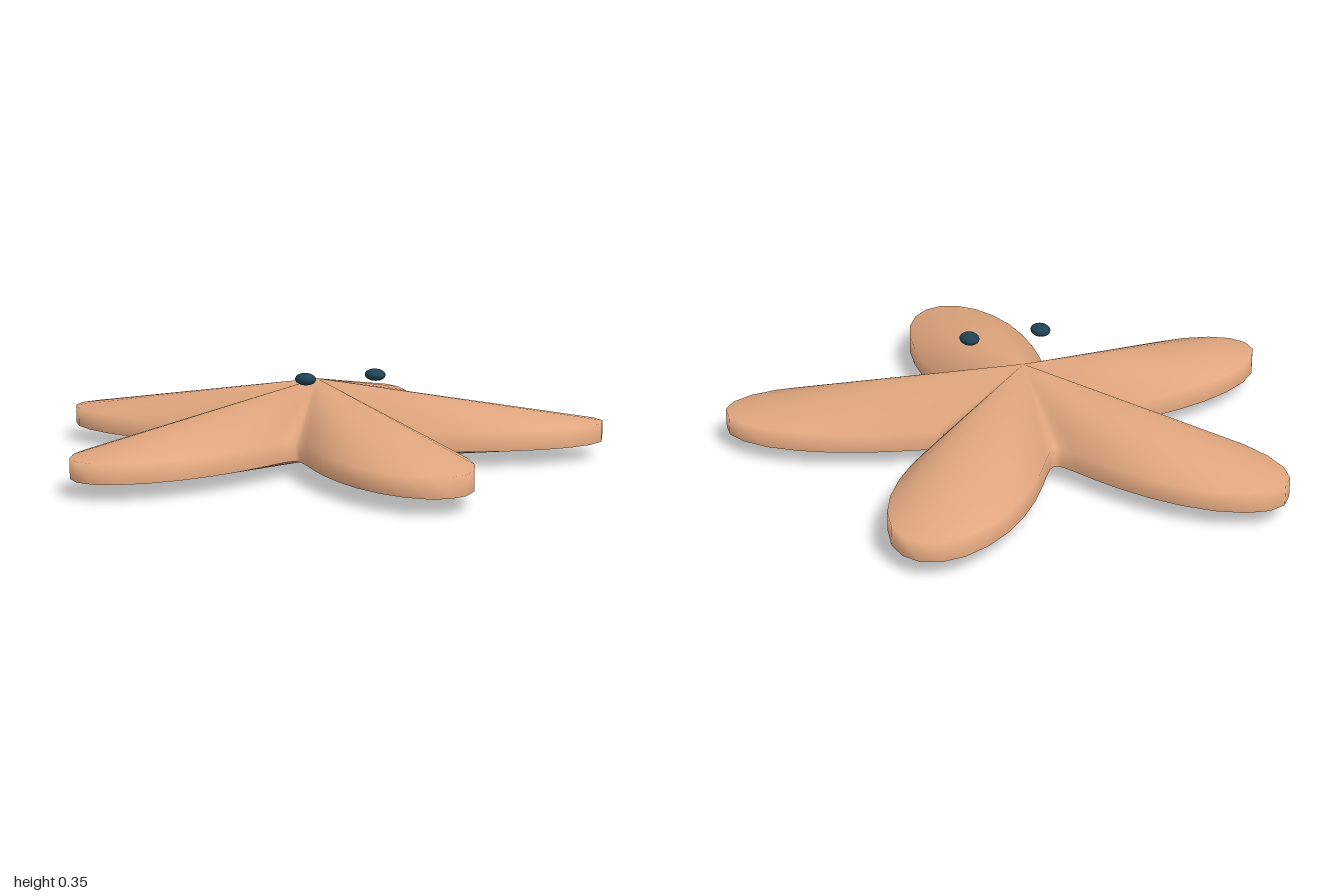
import * as THREE from 'three';

const CENTER_Z = -0.09;
const STEPS = 100;

// Five-armed outline: radius swings smoothly between arm tip and notch
function outline(y) {
  const points = [];
  for (let i = 0; i < STEPS; i++) {
    const a = (i / STEPS) * Math.PI * 2;
    const r = 0.694 + 0.353 * Math.cos(5 * a);
    points.push([r * Math.sin(a), y, r * Math.cos(a)]);
  }
  return points;
}

function surface(vertices, index) {
  const geometry = new THREE.BufferGeometry();
  geometry.setAttribute('position', new THREE.Float32BufferAttribute(vertices.flat(), 3));
  geometry.setIndex(index);
  geometry.computeVertexNormals();
  return geometry;
}

export function createModel() {
  const group = new THREE.Group();
  const skin = new THREE.MeshStandardMaterial({ color: 0xe0a67e });
  skin.name = 'sandy skin';
  const dark = new THREE.MeshStandardMaterial({ color: 0x1f4455 });
  dark.name = 'dark teal';

  const add = (name, geometry, material, x, y, z) => {
    const mesh = new THREE.Mesh(geometry, material);
    mesh.name = name;
    mesh.position.set(x, y, z);
    group.add(mesh);
    return mesh;
  };

  // Upper body: peak sloping to the rim, with the thin side wall blended in
  const upper = [], lower = [];
  for (let i = 0; i < STEPS; i++) {
    const j = (i + 1) % STEPS;
    upper.push(2 * STEPS, i, j);
    upper.push(i, STEPS + i, STEPS + j, i, STEPS + j, j);
    lower.push(STEPS, j, i);
  }
  add('upperBody',
    surface([...outline(0.125), ...outline(0.057), [0, 0.296, 0]], upper),
    skin, 0, 0, CENTER_Z);

  // Underside: shallow inverted peak
  add('underside', surface([...outline(0.057), [0, 0, 0]], lower), skin, 0, 0, CENTER_Z);

  // Eyes: flattened beads hovering over the front slope
  const eye = new THREE.SphereGeometry(1, 16, 12);
  for (const side of [1, -1]) {
    add(side > 0 ? 'leftEye' : 'rightEye', eye, dark, side * 0.133, 0.329, 0.117)
      .scale.set(0.035, 0.021, 0.044);
  }
  return group;
}
